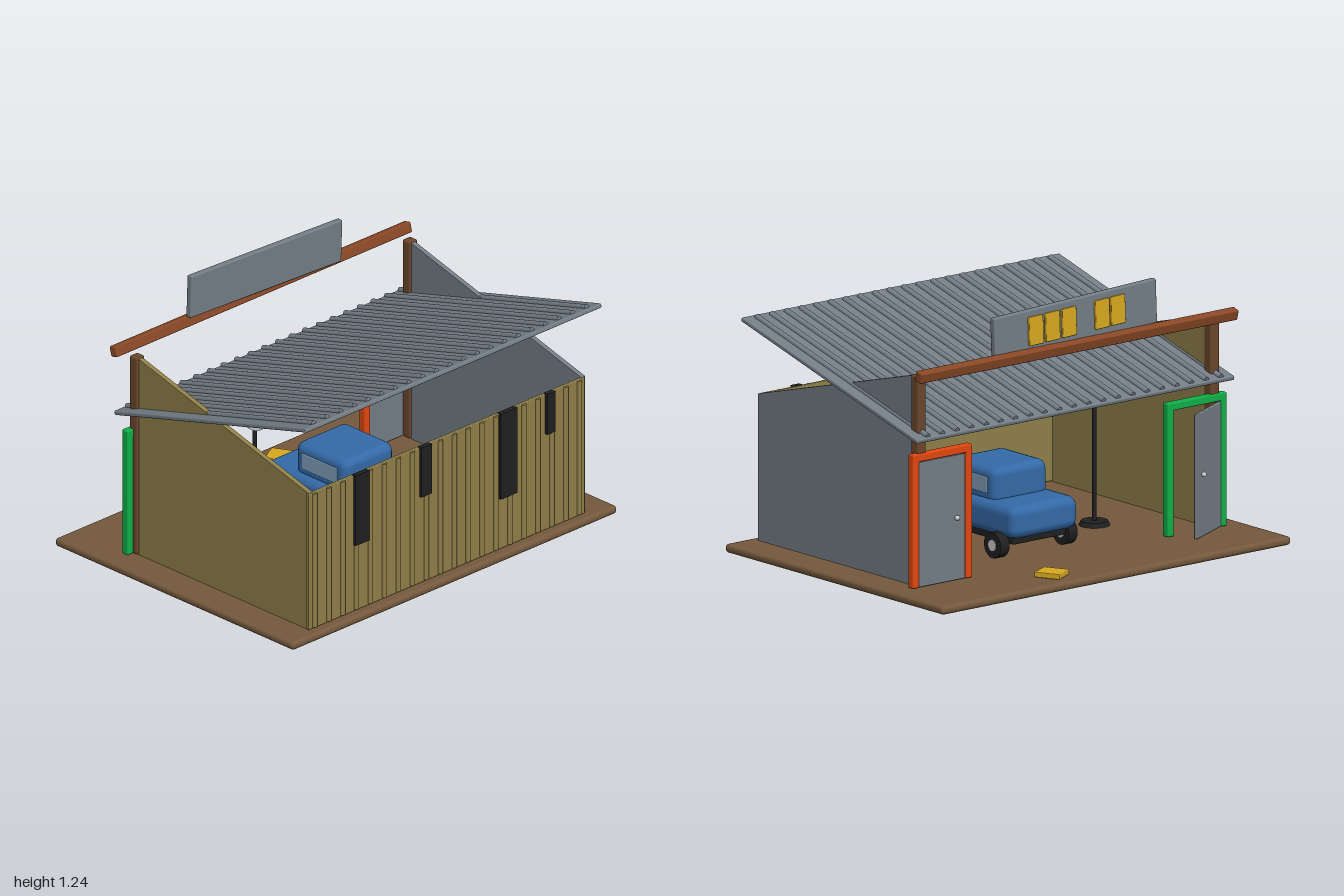
import * as THREE from 'three';
import { RoundedBoxGeometry } from 'three/addons/geometries/RoundedBoxGeometry.js';

const mat = (color) => new THREE.MeshStandardMaterial({ color });
const M = {
  earth: mat(0x75593d), khaki: mat(0x8f7f48), grey: mat(0x747e86), dark: mat(0x202020),
  post: mat(0x6b472c), beam: mat(0x8a4826), red: mat(0xe2470f), green: mat(0x10b048),
  gold: mat(0xd9a920), blue: mat(0x346aa8), glass: mat(0x7f9db8), metal: mat(0xcccccc),
  chest: mat(0xb52a20), bulb: mat(0xf2dfa0),
};

function add(parent, name, geometry, material, x = 0, y = 0, z = 0) {
  const mesh = new THREE.Mesh(geometry, material);
  mesh.name = name;
  mesh.position.set(x, y, z);
  parent.add(mesh);
  return mesh;
}

// Box with softened edges, placed by its centre
function box(parent, name, material, [w, h, d], [x, y, z], r = 0.004) {
  const radius = Math.min(r, w / 2.1, h / 2.1, d / 2.1);
  return add(parent, name, new RoundedBoxGeometry(w, h, d, 2, radius), material, x, y, z);
}

function group(parent, name, x = 0, y = 0, z = 0) {
  const g = new THREE.Group();
  g.name = name;
  g.position.set(x, y, z);
  parent.add(g);
  return g;
}

const FLOOR = 0.04;

// Side wall with a top edge rising towards the open side
function sideWall(parent, name, material, x) {
  const shape = new THREE.Shape([
    new THREE.Vector2(-0.70, FLOOR), new THREE.Vector2(0.39, FLOOR),
    new THREE.Vector2(0.39, 1.0), new THREE.Vector2(-0.70, 0.705),
  ]);
  const geometry = new THREE.ExtrudeGeometry(shape, { depth: 0.024, bevelEnabled: false });
  geometry.translate(0, 0, -0.012).rotateY(Math.PI / 2);
  add(parent, name, geometry, material, x, 0, 0);
}

// Doorway: frame of two jambs and a lintel, with a hinged leaf
function doorway(parent, name, material, side, swing) {
  const g = group(parent, name, side * 0.73, 0, -0.408);
  for (const s of [-1, 1]) box(g, 'doorJamb', material, [0.036, 0.605, 0.036], [s * 0.152, 0.345, 0], 0.006);
  box(g, 'doorLintel', material, [0.34, 0.036, 0.036], [0, 0.63, 0], 0.006);
  const leaf = group(g, 'doorLeaf', side * 0.134, 0, -0.01);
  leaf.rotation.y = swing;
  box(leaf, 'doorPanel', M.grey, [0.264, 0.565, 0.016], [-side * 0.132, 0.327, 0]);
  for (const s of [-1, 1]) {
    add(leaf, 'doorKnob', new THREE.SphereGeometry(0.012, 12, 8), M.metal, -side * 0.21, 0.328, s * 0.017);
  }
}

function buildCar(parent) {
  const car = group(parent, 'car', 0.045, 0, 0);
  box(car, 'carBody', M.blue, [0.38, 0.15, 0.64], [0, 0.205, 0], 0.045);
  box(car, 'carCabin', M.blue, [0.31, 0.17, 0.32], [0, 0.335, 0.01], 0.04);
  box(car, 'carChassis', M.dark, [0.3, 0.05, 0.54], [0, 0.125, 0]);
  for (const s of [-1, 1]) {
    box(car, 'sideWindow', M.glass, [0.01, 0.075, 0.22], [s * 0.154, 0.34, 0.01]);
    for (const z of [-0.21, 0.2]) {
      const wheel = new THREE.CylinderGeometry(0.058, 0.058, 0.05, 20).rotateZ(Math.PI / 2);
      add(car, 'wheel', wheel, M.dark, s * 0.195, 0.098, z);
      const hub = new THREE.CylinderGeometry(0.026, 0.026, 0.056, 12).rotateZ(Math.PI / 2);
      add(car, 'wheelHub', hub, M.metal, s * 0.195, 0.098, z);
    }
  }
}

function buildLamp(parent) {
  const lamp = group(parent, 'workLamp', -0.47, FLOOR, -0.03);
  add(lamp, 'lampFoot', new THREE.CylinderGeometry(0.06, 0.07, 0.02, 20), M.dark, 0, 0.01, 0);
  add(lamp, 'lampPole', new THREE.CylinderGeometry(0.01, 0.01, 0.62, 10), M.dark, 0, 0.32, 0);
  const head = group(lamp, 'lampHead', 0, 0.65, 0);
  head.rotation.set(0.45, 0, 0);
  const shade = new THREE.CylinderGeometry(0.016, 0.055, 0.06, 20, 1, true);
  add(head, 'lampShade', shade, new THREE.MeshStandardMaterial({ color: 0xb4b8ba, side: THREE.DoubleSide }), 0, 0.01, 0);
  add(head, 'lampBulb', new THREE.SphereGeometry(0.026, 16, 10), M.bulb, 0, -0.015, 0);
}

export function createModel() {
  const model = new THREE.Group();
  model.name = 'workshop';

  // Ground slab
  box(model, 'ground', M.earth, [2, FLOOR, 1.5], [0, FLOOR / 2, 0], 0.018);

  // Ribbed front wall with dark torn strips
  box(model, 'frontWall', M.khaki, [1.7, 0.662, 0.018], [-0.01, 0.373, 0.698]);
  for (let i = 0; i < 20; i++) {
    const rib = new THREE.CylinderGeometry(0.014, 0.014, 0.65, 8);
    add(model, 'wallRib', rib, M.khaki, -0.825 + i * 0.0858, 0.375, 0.705);
  }
  for (const [x, width, bottom] of [[-0.543, 0.085, 0.365], [-0.148, 0.065, 0.465], [0.36, 0.1, 0.29], [0.62, 0.05, 0.51]]) {
    box(model, 'wallGap', M.dark, [width, 0.707 - bottom, 0.024], [x, (0.707 + bottom) / 2, 0.709], 0.001);
  }

  // Side walls and corner posts
  sideWall(model, 'rightWall', M.khaki, -0.842);
  sideWall(model, 'leftWall', M.grey, 0.836);
  for (const s of [-1, 1]) box(model, 'post', M.post, [0.05, 0.96, 0.05], [s * 0.84, 0.52, -0.392], 0.01);

  // Sagging corrugated roof
  const roof = group(model, 'roof', 0, 0.88, 0.138);
  roof.rotation.x = -0.265;
  box(roof, 'roofSheet', M.grey, [1.82, 0.02, 1.25], [0, 0, 0], 0.006);
  for (let i = 0; i < 21; i++) {
    const rib = new THREE.CylinderGeometry(0.014, 0.014, 1.215, 10).rotateX(Math.PI / 2);
    add(roof, 'roofRib', rib, M.grey, -0.84 + i * 0.084, 0.011, -0.004);
  }

  // Crossbeam and crooked sign board
  box(model, 'crossbeam', M.beam, [1.82, 0.05, 0.042], [0, 1.012, -0.472], 0.008).rotation.x = -0.26;
  const sign = group(model, 'signBoard', 0, 1.122, -0.45);
  sign.rotation.z = -0.037;
  box(sign, 'signPanel', M.grey, [0.93, 0.2, 0.03], [0, 0, 0], 0.006);
  for (const x of [0.235, 0.14, 0.045, -0.145, -0.235]) {
    box(sign, 'signBlock', M.gold, [0.08, 0.13, 0.016], [x, 0.005, -0.021]);
  }
  box(model, 'fallenBlock', M.gold, [0.11, 0.024, 0.12], [0.27, 0.052, -0.622]).rotation.y = 0.47;

  // One shut door, one ajar
  doorway(model, 'leftDoorway', M.red, 1, 0);
  doorway(model, 'rightDoorway', M.green, -1, 0.46);

  // Contents
  buildCar(model);
  buildLamp(model);
  box(model, 'toolChest', M.chest, [0.16, 0.18, 0.14], [0.62, 0.13, 0.42], 0.01);

  return model;
}
